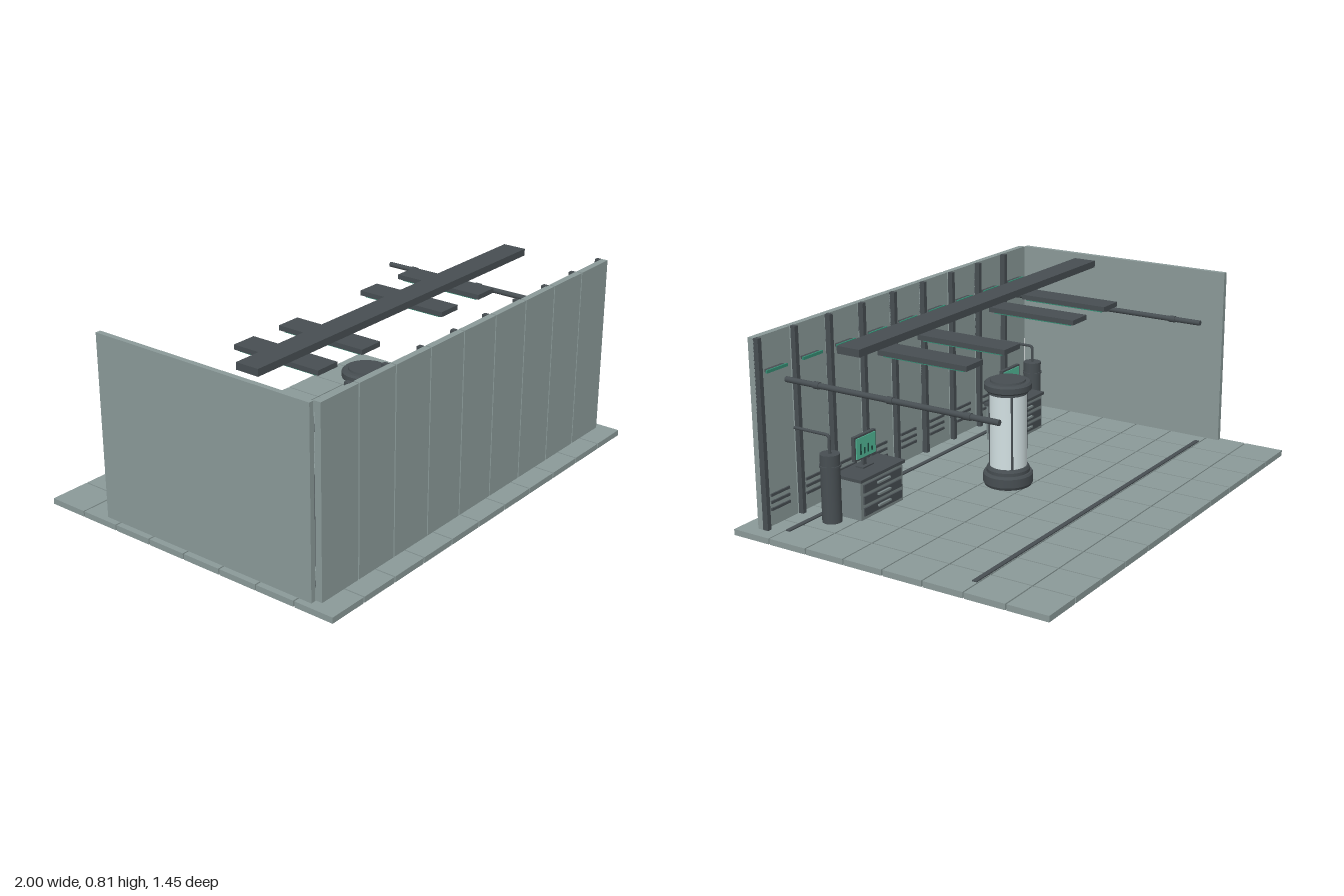
import * as THREE from 'three';

const mat = (name, color) => {
  const m = new THREE.MeshStandardMaterial({ color });
  m.name = name;
  return m;
};

export function createModel() {
  const root = new THREE.Group();
  root.name = 'laboratoryRoom';
  const M = {
    panel: mat('paleGreyPanel', 0x8a9998),
    dark: mat('darkMetal', 0x474e52),
    cabinet: mat('cabinetGrey', 0x788586),
    light: mat('tealLight', 0x358c73),
    screen: mat('tealScreen', 0x52b797),
    ink: mat('screenInk', 0x1f4c42),
    glass: mat('paleGlass', 0xd2e0e2),
  };

  const add = (parent, name, geo, m, x = 0, y = 0, z = 0) => {
    const mesh = new THREE.Mesh(geo, m);
    mesh.name = name;
    mesh.position.set(x, y, z);
    parent.add(mesh);
    return mesh;
  };
  // Box given by its limits on each axis
  const box = (parent, name, m, [x0, x1], [y0, y1], [z0, z1]) =>
    add(parent, name, new THREE.BoxGeometry(x1 - x0, y1 - y0, z1 - z0), m,
      (x0 + x1) / 2, (y0 + y1) / 2, (z0 + z1) / 2);
  const around = (c, w) => [c - w / 2, c + w / 2];
  const cyl = (parent, name, m, r, y0, y1, x, z, seg = 32) =>
    add(parent, name, new THREE.CylinderGeometry(r, r, y1 - y0, seg), m, x, (y0 + y1) / 2, z);
  const group = (name, x = 0, y = 0, z = 0) => {
    const g = new THREE.Group();
    g.name = name;
    g.position.set(x, y, z);
    root.add(g);
    return g;
  };

  // Floor tiles
  const floor = group('floor');
  const pitch = 0.1824, gap = 0.006;
  for (let i = 0; i < 11; i++) {
    for (let j = 0; j < 8; j++) {
      box(floor, 'floorTile', M.panel, around((i - 5) * pitch, pitch - gap), [0, 0.025],
        around((j - 3.5) * pitch, pitch - gap));
    }
  }
  for (const z of [-0.35, 0.533]) {
    box(floor, 'floorChannel', M.dark, [-0.905, 0.905], [0.022, 0.03], around(z, 0.02));
  }

  // Long wall: panels, ribs, light strips and vents
  const wall = group('longWall');
  const step = 0.2127;
  for (let i = -4; i <= 4; i++) {
    const x = i * step;
    box(wall, 'wallPanel', M.panel, around(x, step - 0.006), [0.03, 0.81], [0.613, 0.641]);
    box(wall, 'wallRib', M.dark, around(x + step / 2 - 0.013, 0.02), [0.03, 0.81], [0.591, 0.616]);
    box(wall, 'stripMount', M.dark, around(x, 0.1), [0.663, 0.675], [0.598, 0.614]);
    box(wall, 'lightStrip', M.light, around(x, 0.12), [0.663, 0.675], [0.591, 0.599]);
    for (let k = 0; k < 3; k++) {
      box(wall, 'ventSlot', M.dark, around(x, 0.11), around(0.1 + k * 0.03, 0.011), [0.606, 0.614]);
    }
  }

  // Side wall
  box(root, 'sideWall', M.panel, [-0.98, -0.957], [0.03, 0.81], [-0.43, 0.613]);

  // Overhead beam and hanging lamps
  box(root, 'ceilingBeam', M.dark, [-0.868, 0.866], [0.78, 0.81], [0.178, 0.283]);
  for (const x of [-0.522, -0.26, 0.26, 0.522]) {
    const lamp = group('ceilingLamp', x, 0, 0.108);
    box(lamp, 'lampHousing', M.dark, [-0.056, 0.056], [0.697, 0.718], [-0.209, 0.209]);
    box(lamp, 'lampDiffuser', M.light, [-0.046, 0.046], [0.69, 0.698], [-0.19, 0.19]);
  }

  // Glass capsule on a turned base
  const capsule = group('glassCapsule', 0, 0, 0.09);
  const lathe = (name, pts) => {
    // repeated points keep the turned edges sharp
    const p = [];
    for (let i = 0; i < pts.length - 1; i++) {
      const g = new THREE.LatheGeometry([pts[i], pts[i + 1]].map(([r, y]) => new THREE.Vector2(r, y)), 40);
      p.push(g);
    }
    p.forEach((g) => add(capsule, name, g, M.dark));
  };
  lathe('capsuleBase', [[0, 0.028], [0.1, 0.028], [0.106, 0.04], [0.106, 0.077], [0.1, 0.086],
    [0.092, 0.086], [0.092, 0.1], [0.085, 0.112], [0, 0.112]]);
  lathe('capsuleCap', [[0, 0.43], [0.084, 0.43], [0.084, 0.442], [0.093, 0.442], [0.1, 0.449],
    [0.1, 0.472], [0.092, 0.48], [0.075, 0.48], [0.073, 0.488], [0, 0.488]]);
  cyl(capsule, 'glassTube', M.glass, 0.079, 0.11, 0.432, 0, 0, 48);
  for (let i = 0; i < 4; i++) {
    const a = Math.PI / 4 + i * Math.PI / 2;
    cyl(capsule, 'capsuleStrut', M.dark, 0.0055, 0.1, 0.435, 0.077 * Math.cos(a), 0.077 * Math.sin(a), 10);
  }

  for (const s of [-1, 1]) {
    // Overhead pipe with clamps
    const pipe = group('overheadPipe', s * 0.802, 0.613, 0);
    const along = (name, r, z0, z1) => {
      add(pipe, name, new THREE.CylinderGeometry(r, r, z1 - z0, 16), M.dark, 0, 0, (z0 + z1) / 2)
        .rotation.x = Math.PI / 2;
    };
    along('pipeRun', 0.0115, -0.395, 0.593);
    for (const z of [-0.26, 0.09, 0.44]) along('pipeClamp', 0.0145, z - 0.014, z + 0.014);

    // Gas tank with its feed pipe into the wall
    const tank = group('gasTank', s * 0.746, 0, 0.438);
    cyl(tank, 'tankBody', M.dark, 0.04, 0.035, 0.32, 0, 0);
    cyl(tank, 'tankBand', M.dark, 0.044, 0.266, 0.274, 0, 0);
    const path = new THREE.CurvePath();
    const v = (y, z) => new THREE.Vector3(0, y, z);
    path.add(new THREE.LineCurve3(v(0.315, 0), v(0.38, 0)));
    path.add(new THREE.QuadraticBezierCurve3(v(0.38, 0), v(0.395, 0), v(0.395, 0.015)));
    path.add(new THREE.LineCurve3(v(0.395, 0.015), v(0.395, 0.176)));
    add(tank, 'feedPipe', new THREE.TubeGeometry(path, 40, 0.0065, 10), M.dark);

    // Cabinet with drawers and a monitor
    const cab = group('cabinet', s * 0.54, 0, 0.405);
    box(cab, 'cabinetBody', M.cabinet, [-0.138, 0.138], [0.03, 0.193], [-0.06, 0.062]);
    box(cab, 'cabinetTop', M.dark, [-0.145, 0.145], [0.193, 0.206], [-0.07, 0.07]);
    for (let k = 0; k < 3; k++) {
      const y = 0.063 + k * 0.049;
      box(cab, 'drawerFront', M.dark, [-0.122, 0.122], around(y, 0.034), [-0.067, -0.06]);
      box(cab, 'drawerHandle', M.cabinet, [-0.04, 0.04], around(y + 0.004, 0.008), [-0.077, -0.067]);
    }
    box(cab, 'monitorFoot', M.dark, [-0.035, 0.035], [0.206, 0.212], [0.005, 0.045]);
    box(cab, 'monitorStand', M.dark, [-0.01, 0.01], [0.21, 0.25], [0.022, 0.034]);
    box(cab, 'monitorFrame', M.dark, [-0.07, 0.07], [0.242, 0.345], [0.018, 0.034]);
    box(cab, 'monitorScreen', M.screen, [-0.062, 0.062], [0.25, 0.337], [0.014, 0.018]);
    [0.018, 0.036, 0.026, 0.046].forEach((h, i) => {
      box(cab, 'screenBar', M.ink, around(-0.036 + i * 0.024, 0.008), [0.265, 0.265 + h], [0.012, 0.014]);
    });
  }

  return root;
}
